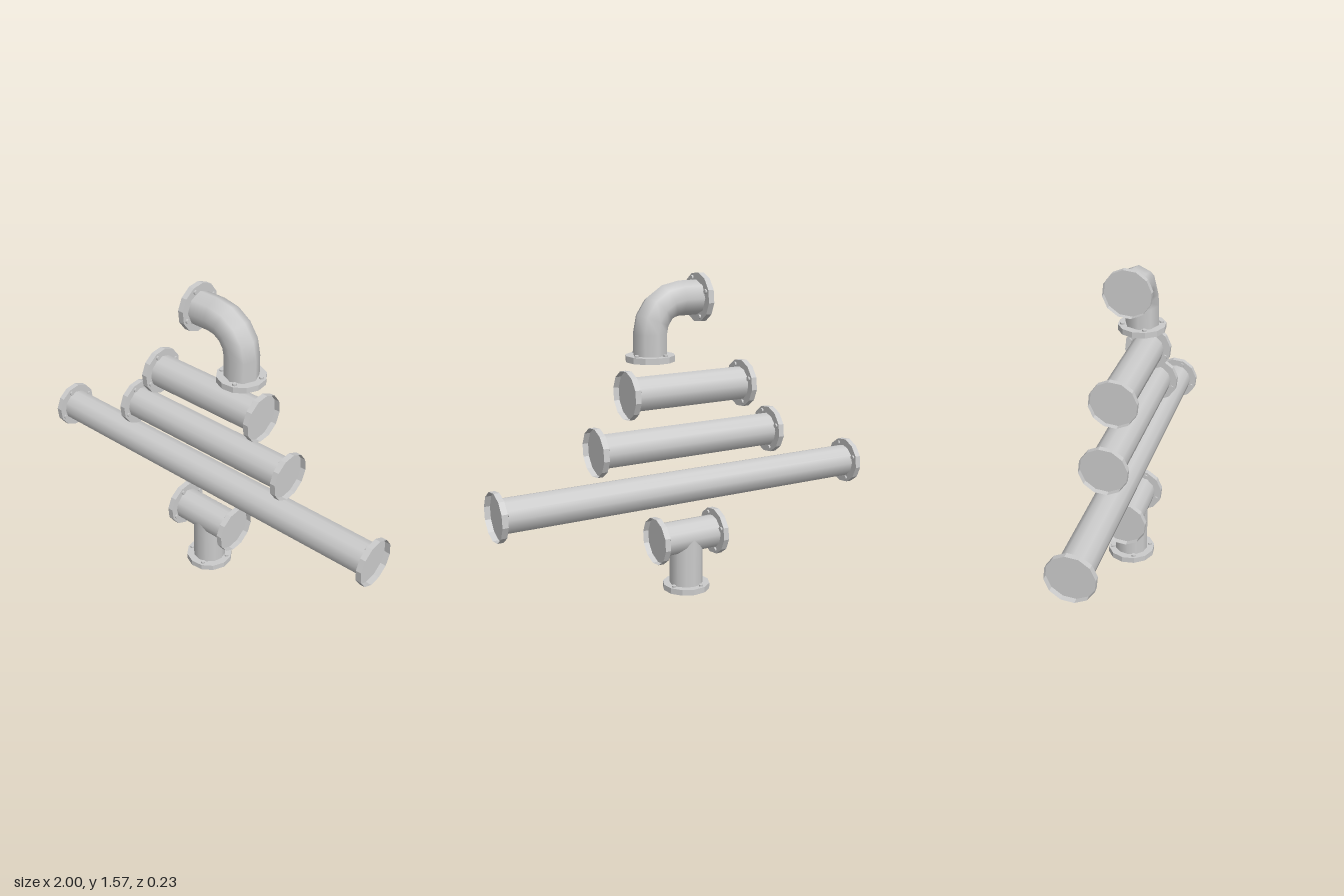
import * as THREE from 'three';

const PIPE_R = 0.083, FLANGE_R = 0.118, FLANGE_T = 0.029, BOLT_RING = 0.096;
const BOLT_R = 0.011, BOLT_H = 0.009;
const TWIST = THREE.MathUtils.degToRad(21);

const metal = new THREE.MeshStandardMaterial({ color: 0xcccccc });
const plateMetal = new THREE.MeshStandardMaterial({ color: 0xcccccc, side: THREE.DoubleSide });
const rimMetal = new THREE.MeshStandardMaterial({ color: 0xcccccc, flatShading: true, side: THREE.DoubleSide });

function add(parent, name, geometry, material) {
  const mesh = new THREE.Mesh(geometry, material);
  mesh.name = name;
  parent.add(mesh);
  return mesh;
}

// Flange with its open mouth at local y = 0, the pipe leaving along +y
function makeFlange(mirror = 1) {
  const flange = new THREE.Group();
  flange.name = 'flange';
  const rim = new THREE.CylinderGeometry(FLANGE_R, FLANGE_R, FLANGE_T, 12, 1, true, mirror * TWIST);
  add(flange, 'flangeRim', rim, rimMetal).position.y = FLANGE_T / 2;
  const plate = new THREE.CircleGeometry(FLANGE_R, 12, mirror * TWIST - Math.PI / 2).rotateX(-Math.PI / 2);
  add(flange, 'flangePlate', plate, plateMetal).position.y = FLANGE_T;
  for (let i = 0; i < 4; i++) {
    const a = mirror * TWIST + i * Math.PI / 2;
    add(flange, 'bolt', new THREE.CylinderGeometry(BOLT_R, BOLT_R, BOLT_H, 8), metal)
      .position.set(BOLT_RING * Math.sin(a), FLANGE_T + BOLT_H / 2, BOLT_RING * Math.cos(a));
  }
  return flange;
}

// Flange closing a horizontal pipe; side is -1 for the -x end, 1 for the +x end
function addSideFlange(parent, x, y, side) {
  const flange = makeFlange(-side);
  flange.rotation.z = side * Math.PI / 2;
  flange.position.set(x, y, 0);
  parent.add(flange);
}

function addBottomFlange(parent, x, y) {
  const flange = makeFlange();
  flange.position.set(x, y, 0);
  parent.add(flange);
}

function pipeGeometry(length, sides) {
  return new THREE.CylinderGeometry(PIPE_R, PIPE_R, length, sides, 1, true);
}

function addHorizontalPipe(parent, x0, x1, y, sides = 12) {
  add(parent, 'pipe', pipeGeometry(x1 - x0, sides).rotateZ(Math.PI / 2), metal).position.set((x0 + x1) / 2, y, 0);
}

function addVerticalPipe(parent, x, y0, y1, sides = 12) {
  add(parent, 'pipe', pipeGeometry(y1 - y0, sides), metal).position.set(x, (y0 + y1) / 2, 0);
}

// Straight run with a flange on each end
function makeStraight(name, half, y) {
  const group = new THREE.Group();
  group.name = name;
  addHorizontalPipe(group, -half + FLANGE_T, half - FLANGE_T, y);
  for (const side of [-1, 1]) addSideFlange(group, side * half, y, side);
  return group;
}

function makeTee() {
  const tee = makeStraight('teePiece', 0.18, 0.274);
  addVerticalPipe(tee, 0, FLANGE_T, 0.274);
  addBottomFlange(tee, 0, 0);
  return tee;
}

// Quarter bend, coarser than the straight runs
function makeElbow() {
  const elbow = new THREE.Group();
  elbow.name = 'elbowPiece';
  const sides = 8, bend = 0.155, cx = 0.04, cy = 1.303, left = -0.085, bottom = 1.173;
  add(elbow, 'bend', new THREE.TorusGeometry(bend, PIPE_R, sides, 4, Math.PI / 2), metal).position.set(cx, cy, 0);
  addHorizontalPipe(elbow, left + FLANGE_T, cx, cy + bend, sides);
  addVerticalPipe(elbow, cx + bend, bottom + FLANGE_T, cy, sides);
  addSideFlange(elbow, left, cy + bend, -1);
  addBottomFlange(elbow, cx + bend, bottom);
  return elbow;
}

export function createModel() {
  const model = new THREE.Group();
  model.name = 'pipeSet';
  model.add(
    makeTee(),
    makeStraight('longPipe', 1, 0.532),
    makeStraight('mediumPipe', 0.5, 0.765),
    makeStraight('shortPipe', 0.333, 1.019),
    makeElbow(),
  );
  return model;
}
